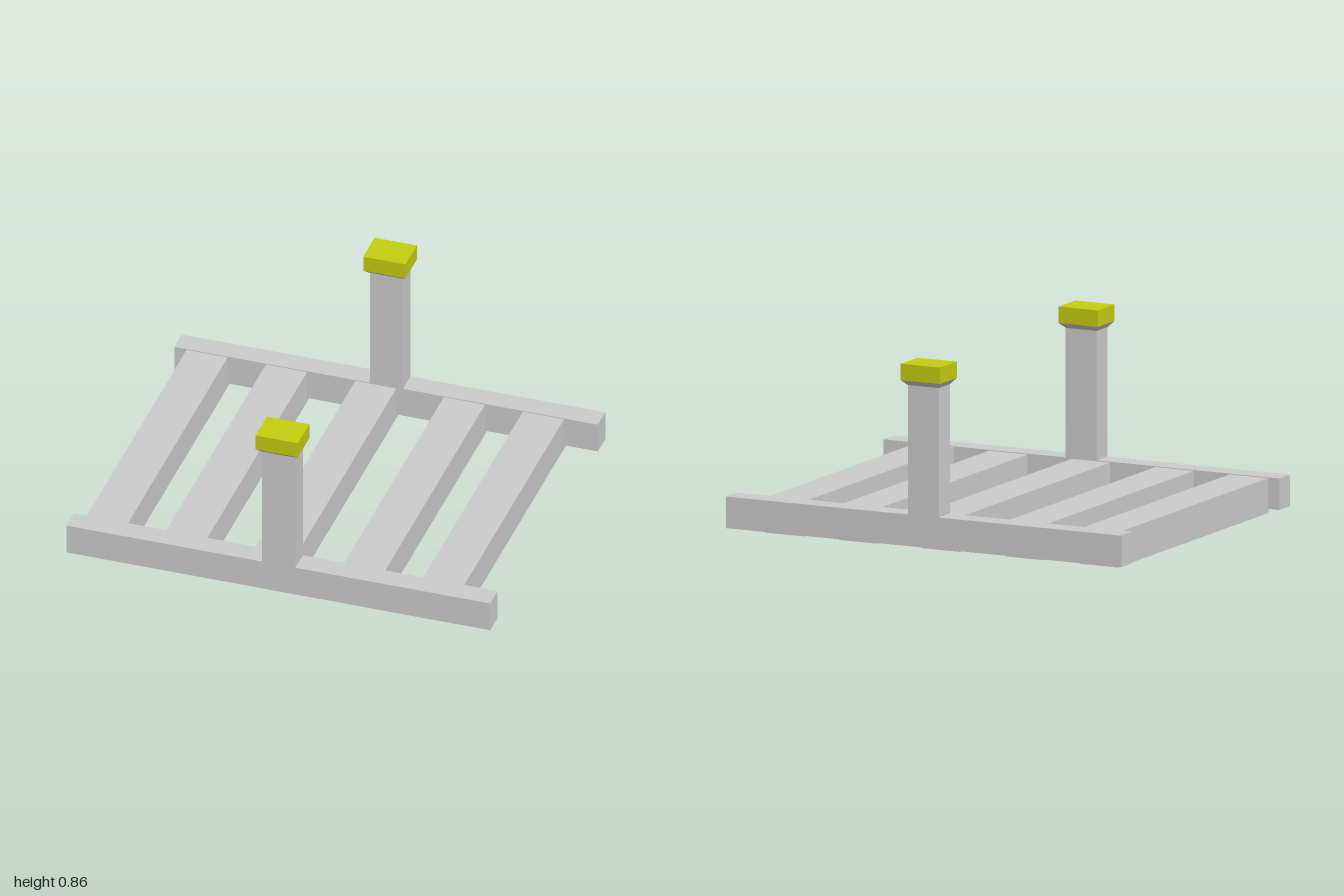
import * as THREE from 'three';

const grey = new THREE.MeshStandardMaterial({ color: 0xcccccc, flatShading: true });
const yellow = new THREE.MeshStandardMaterial({ color: 0xc4cc10, flatShading: true });

// Box given by its extents on each axis
function block(name, [x0, x1], [y0, y1], [z0, z1], material = grey) {
  const mesh = new THREE.Mesh(new THREE.BoxGeometry(x1 - x0, y1 - y0, z1 - z0), material);
  mesh.position.set((x0 + x1) / 2, (y0 + y1) / 2, (z0 + z1) / 2);
  mesh.name = name;
  return mesh;
}

// Narrow the lower corners of a box to make a flared collar
function flare(mesh, scaleX, scaleZ) {
  const p = mesh.geometry.attributes.position;
  for (let i = 0; i < p.count; i++) {
    if (p.getY(i) < 0) p.setXYZ(i, p.getX(i) * scaleX, p.getY(i), p.getZ(i) * scaleZ);
  }
  mesh.geometry.computeVertexNormals();
  return mesh;
}

export function createModel() {
  const model = new THREE.Group();
  model.name = 'slattedRack';

  // Slats running front to back between the rails
  for (const x of [-0.845, -0.47, -0.048, 0.37, 0.743]) {
    model.add(block('slat', [x - 0.097, x + 0.097], [0, 0.16], [-0.738, 0.718]));
  }

  // Front and back ends: rail, post, flared collar and coloured cap
  for (const [side, s] of [['front', 1], ['back', -1]]) {
    const end = new THREE.Group();
    end.name = side + 'End';
    const span = (a, b) => (s > 0 ? [a, b] : [-b, -a]);
    end.add(
      block('rail', [-1, 1], [0.02, 0.164], span(0.711, 0.817)),
      block('post', [-0.077, 0.08], [0.164, 0.755], span(0.711, 0.817)),
      flare(block('collar', [-0.098, 0.101], [0.755, 0.78], span(0.683, 0.845)), 0.79, 0.65),
      block('cap', [-0.098, 0.101], [0.78, 0.855], span(0.683, 0.845), yellow)
    );
    model.add(end);
  }
  return model;
}
